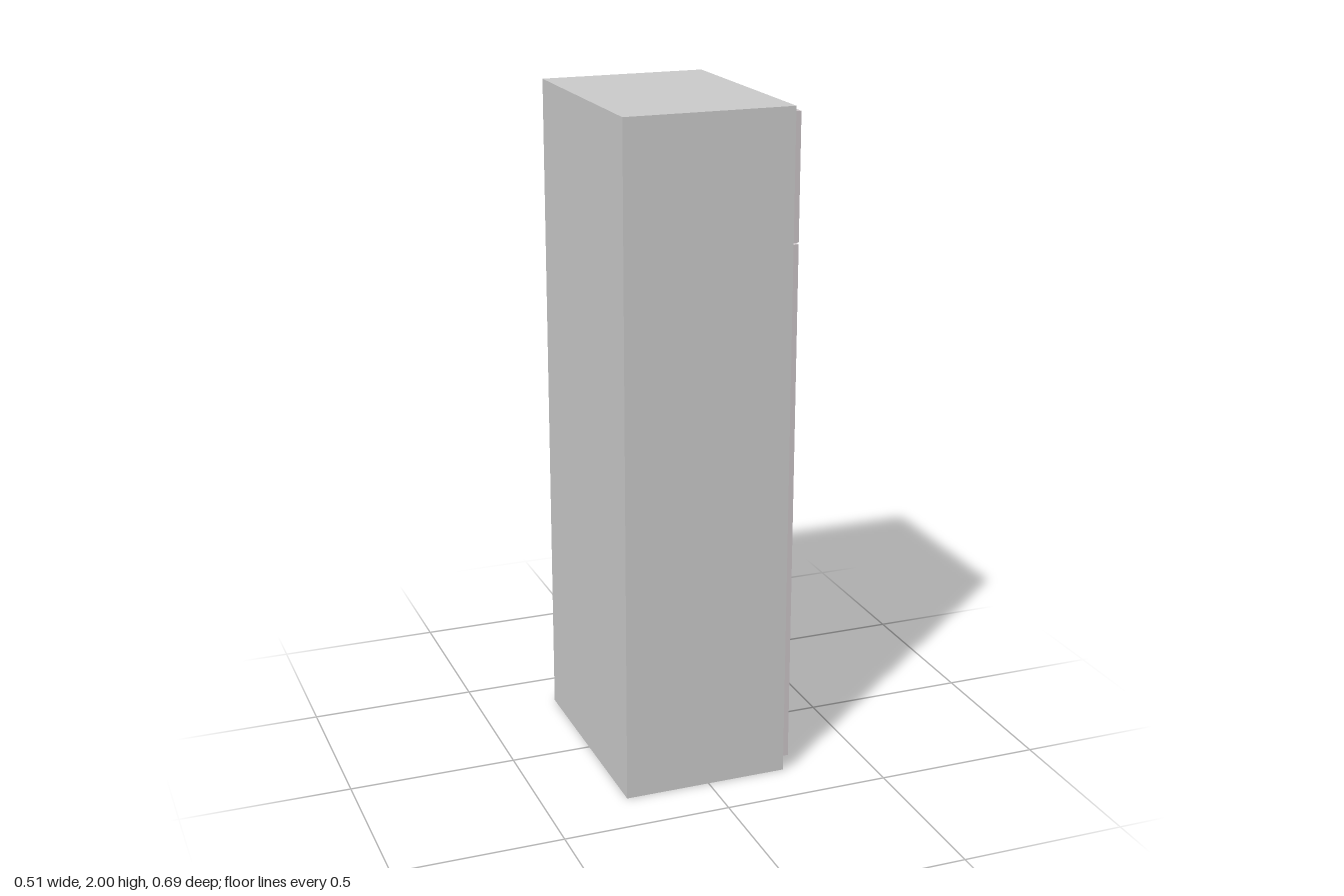
import * as THREE from 'three';

const BACK = -0.257, FRONT = 0.241, FACE = 0.257, HALF = 0.345;

export function createModel() {
  const group = new THREE.Group();
  const grey = new THREE.MeshStandardMaterial({ color: 0xcccccc });
  const tinted = new THREE.MeshStandardMaterial({ color: 0xccc5c8 });

  const add = (name, geometry, material) => {
    const mesh = new THREE.Mesh(geometry, material);
    mesh.name = name;
    group.add(mesh);
  };
  const box = (name, x0, x1, y0, y1, z0, z1) => {
    const g = new THREE.BoxGeometry(x1 - x0, y1 - y0, z1 - z0);
    g.translate((x0 + x1) / 2, (y0 + y1) / 2, (z0 + z1) / 2);
    add(name, g, grey);
  };

  // Cabinet body
  box('carcass', BACK, FRONT, 0, 2, -HALF, HALF);

  // Strip closing the back of the grip channel between the doors
  box('channelBack', FRONT, 0.245, 0.045, 1.985, -0.021, 0.021);

  // Door plan: a panel whose inner edge is undercut behind a thin front lip
  const doorGeometry = (side, y0, y1) => {
    const s = -side; // the plan's second axis becomes -z when stood up
    const shape = new THREE.Shape();
    shape.moveTo(FRONT, 0.343 * s);
    shape.lineTo(FACE, 0.343 * s);
    shape.lineTo(FACE, 0.012 * s);
    shape.lineTo(0.2555, 0.012 * s);
    shape.lineTo(0.2555, 0.017 * s);
    shape.quadraticCurveTo(0.2555, 0.02 * s, 0.253, 0.02 * s);
    shape.lineTo(0.248, 0.02 * s);
    shape.quadraticCurveTo(0.245, 0.02 * s, 0.245, 0.017 * s);
    shape.lineTo(FRONT, 0.017 * s);
    shape.closePath();
    const g = new THREE.ExtrudeGeometry(shape, { depth: y1 - y0, bevelEnabled: false, curveSegments: 4 });
    g.rotateX(-Math.PI / 2);
    g.translate(0, y0, 0);
    return g;
  };

  // Tall lower door and short upper door on each side
  for (const side of [1, -1]) {
    const material = side > 0 ? tinted : grey;
    const label = side > 0 ? 'Tinted' : 'Plain';
    add('lowerDoor' + label, doorGeometry(side, 0.045, 1.616), material);
    add('upperDoor' + label, doorGeometry(side, 1.621, 1.985), material);
  }
  return group;
}
